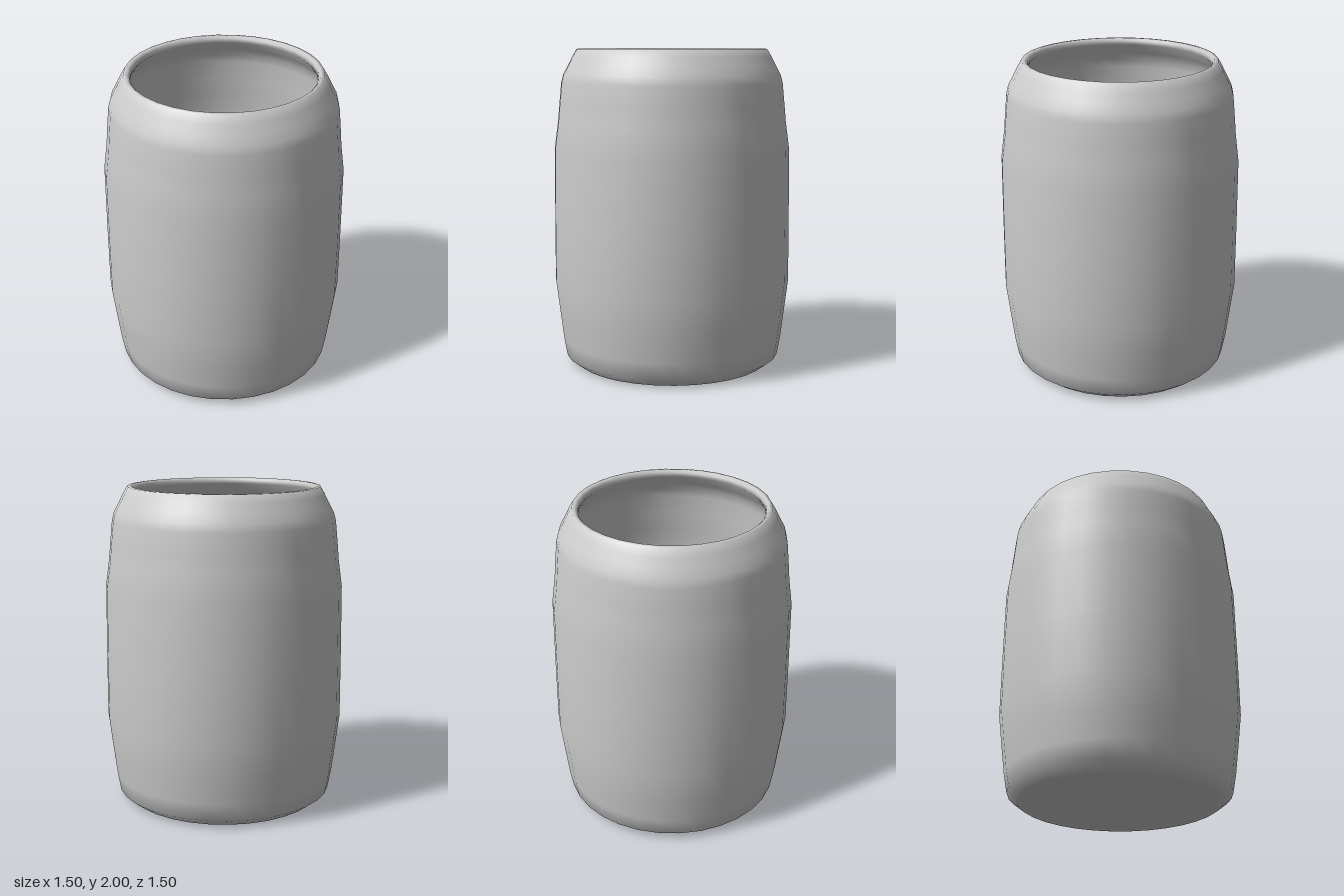
import * as THREE from 'three';

const SIDES = 32;
const WALL = 0.04;

// Outer silhouette from base to rim, as [radius, height]
const OUTER = [
  [0.617, 0], [0.682, 0.05], [0.702, 0.16], [0.723, 0.33], [0.748, 0.54],
  [0.746, 0.92], [0.741, 1.38], [0.718, 1.55], [0.708, 1.66], [0.695, 1.79],
  [0.682, 1.84], [0.655, 1.89], [0.625, 1.95], [0.597, 1.998],
];

function lathe(name, profile) {
  // Radii are measured across flats, so widen them to the corners
  const k = 1 / Math.cos(Math.PI / SIDES);
  const points = profile.map(([r, y]) => new THREE.Vector2(r * k, y));
  const geometry = new THREE.LatheGeometry(points, SIDES, Math.PI / SIDES);
  const material = new THREE.MeshStandardMaterial({ color: 0xcccccc });
  const mesh = new THREE.Mesh(geometry, material);
  mesh.name = name;
  return mesh;
}

export function createModel() {
  const group = new THREE.Group();
  group.name = 'jar';

  // Bulging wall, closed base, rounded rim and hollow inside in one turned profile
  const rim = [[0.575, 2], [0.562, 1.985], [0.558, 1.96]];
  const inner = OUTER.slice(2, 12).reverse().map(([r, y]) => [r - WALL, y]);
  const floor = [[0.64, 0.08], [0.59, 0.05], [0, 0.05]];
  group.add(lathe('jarBody', [[0, 0], [0.58, 0], ...OUTER, ...rim, ...inner, ...floor]));

  return group;
}
